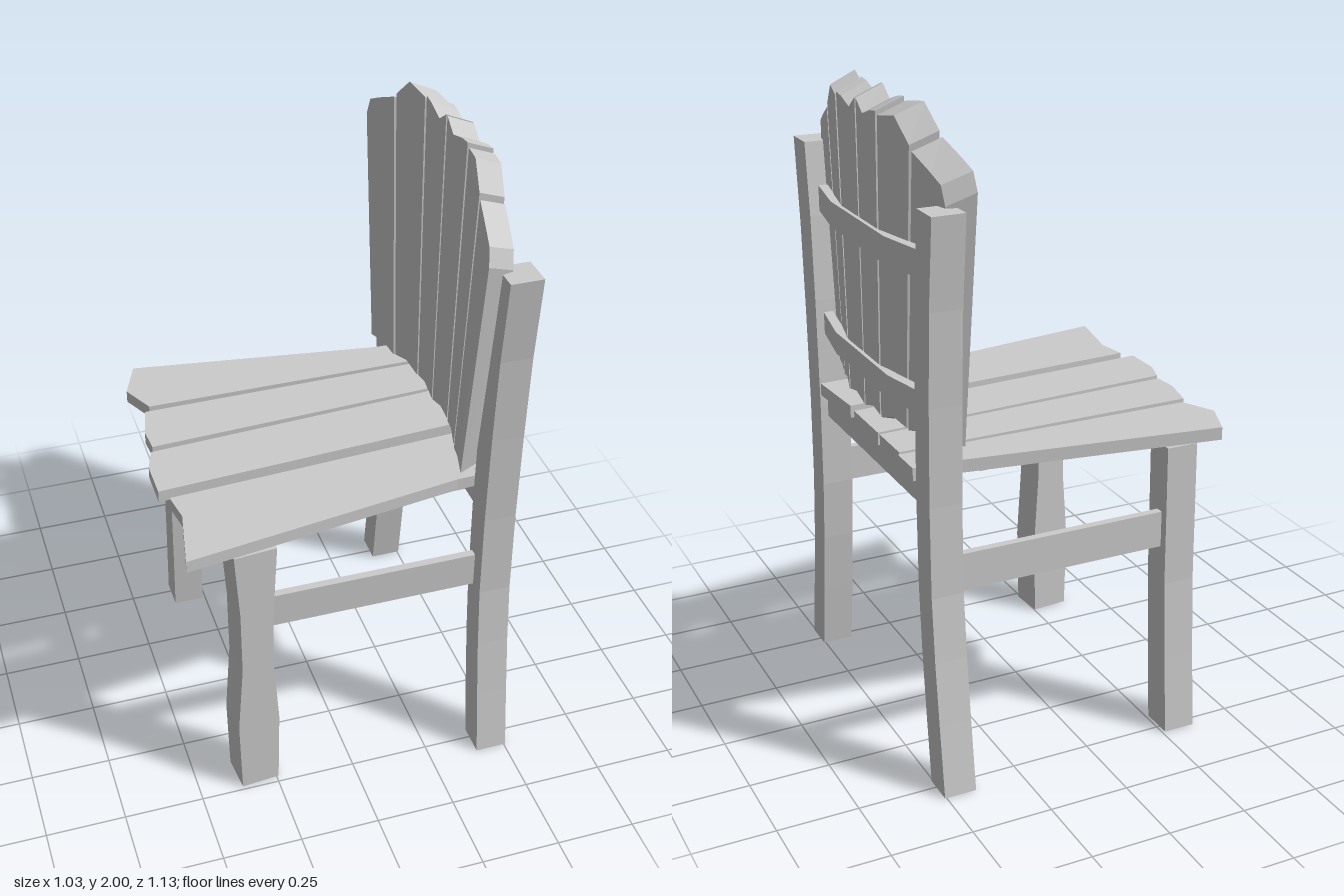
import * as THREE from 'three';

const material = new THREE.MeshStandardMaterial({ color: 0xcccccc, flatShading: true, side: THREE.DoubleSide });

function extrude(points, depth) {
  const shape = new THREE.Shape(points.map(([a, b]) => new THREE.Vector2(a, b)));
  return new THREE.ExtrudeGeometry(shape, { depth, bevelEnabled: false, curveSegments: 1 });
}
// Outline in (z, y), thickness along x from x0 to x1
const sideways = (points, x0, x1) => extrude(points, x1 - x0).rotateY(-Math.PI / 2).translate(x1, 0, 0);
// Outline in (x, z), thickness along y from y0 to y1
const flat = (points, y0, y1) => extrude(points, y1 - y0).rotateX(Math.PI / 2).translate(0, y1, 0);

function box(x0, x1, y0, y1, z0, z1) {
  return new THREE.BoxGeometry(x1 - x0, y1 - y0, z1 - z0)
    .translate((x0 + x1) / 2, (y0 + y1) / 2, (z0 + z1) / 2);
}

// Back slats: a flat outline, then bent into an arc and fanned out upwards
function slatGeometry(outline, side) {
  const geo = sideways(outline.map(([z, y]) => [z * side, y]), 0, 1);
  const p = geo.attributes.position;
  for (let i = 0; i < p.count; i++) {
    const t = p.getX(i), y = p.getY(i), z = p.getZ(i), a = Math.abs(z);
    const front = a < 0.168 ? 0.418 : 0.418 - (a - 0.168) * 0.185;
    const fan = THREE.MathUtils.mapLinear(y, 1.03, 1.85, 0.79, 1);
    p.setXYZ(i, front + 0.083 * t, y + (y > 1.5 ? -0.035 : 0.022) * t, z * Math.min(fan, 1) * (1 - 0.05 * t));
  }
  geo.computeVertexNormals();
  return geo;
}

export function createModel() {
  const chair = new THREE.Group();
  chair.name = 'chair';
  const add = (name, geometry) => {
    const mesh = new THREE.Mesh(geometry, material);
    mesh.name = name;
    chair.add(mesh);
    return mesh;
  };

  // Seat planks with irregular front ends
  const planks = [
    [[-0.44, -0.505], [-0.49, -0.38], [-0.44, -0.275], [0.51, -0.275], [0.51, -0.385], [0.36, -0.39]],
    [[-0.46, -0.25], [-0.485, -0.14], [-0.48, -0.06], [0.42, -0.105], [0.5, -0.11], [0.5, -0.26]],
    [[-0.49, -0.035], [-0.515, 0.04], [-0.515, 0.165], [0.41, 0.105], [0.5, 0.1], [0.5, -0.095]],
    [[-0.49, 0.205], [-0.475, 0.3], [-0.515, 0.505], [0.36, 0.375], [0.51, 0.37], [0.495, 0.145]],
  ];
  planks.forEach((outline, i) => add(`seatPlank${i + 1}`, flat(outline, 0.945, 0.985)));

  // Battens and rail under the seat
  add('frontBatten', box(-0.23, -0.11, 0.925, 0.945, -0.36, 0.36));
  add('rearBatten', box(0.17, 0.29, 0.925, 0.945, -0.36, 0.36));
  add('rearSeatRail', box(0.43, 0.48, 0.86, 0.945, -0.41, 0.41));

  // Curved rear legs
  const rearLeg = [
    [0.565, 0], [0.535, 0.22], [0.51, 0.42], [0.493, 0.62], [0.49, 0.9], [0.498, 1.2], [0.512, 1.48], [0.54, 1.75],
    [0.44, 1.75], [0.415, 1.52], [0.402, 1.25], [0.395, 0.9], [0.4, 0.62], [0.415, 0.42], [0.437, 0.22], [0.465, 0],
  ];
  for (const side of [1, -1]) {
    add(side > 0 ? 'rearLegA' : 'rearLegB', sideways(rearLeg.map(([z, y]) => [z * side, y]), 0.405, 0.505));
  }

  // Front legs: one bent sideways, the other waisted and slightly turned
  add('frontLegBent', sideways([
    [-0.535, 0], [-0.515, 0.25], [-0.5, 0.5], [-0.495, 0.945],
    [-0.395, 0.945], [-0.4, 0.5], [-0.412, 0.28], [-0.43, 0],
  ], -0.36, -0.26));
  const waisted = add('frontLegWaisted', extrude([
    [-0.06, 0], [-0.067, 0.26], [-0.05, 0.5], [-0.052, 0.72], [-0.067, 0.945],
    [0.067, 0.945], [0.052, 0.68], [0.05, 0.52], [0.067, 0.26], [0.062, 0],
  ], 0.115).translate(0, 0, -0.0575));
  waisted.position.set(-0.31, 0, 0.425);
  waisted.rotation.y = 0.09;

  // Side stretchers
  add('stretcherA', box(-0.29, 0.42, 0.615, 0.73, 0.415, 0.44));
  add('stretcherB', box(-0.29, 0.42, 0.615, 0.73, -0.47, -0.445));

  // Fan of back slats, mirrored about the middle
  const slats = [
    [[0.005, 1.02], [0.005, 2], [0.055, 1.965], [0.12, 1.985], [0.16, 1.99], [0.16, 1.03], [0.09, 1.04]],
    [[0.172, 1.025], [0.172, 1.98], [0.26, 1.993], [0.332, 1.925], [0.332, 1.03], [0.25, 1.045]],
    [[0.345, 1.025], [0.345, 1.91], [0.435, 1.87], [0.485, 1.845], [0.51, 1.79], [0.51, 1.03], [0.42, 1.04]],
  ];
  for (const side of [1, -1]) {
    slats.forEach((outline, i) => add(`backSlat${side > 0 ? 'A' : 'B'}${i + 1}`, slatGeometry(outline, side)));
  }

  // Curved rails behind the slats
  const arc = [[0.478, -0.405], [0.513, -0.22], [0.513, 0.2], [0.478, 0.405]];
  const rail = [...arc, ...arc.map(([x, z]) => [x - 0.03, z * 0.99]).reverse()];
  add('upperBackRail', flat(rail, 1.54, 1.62));
  add('lowerBackRail', flat(rail, 1.14, 1.21));

  return chair;
}
